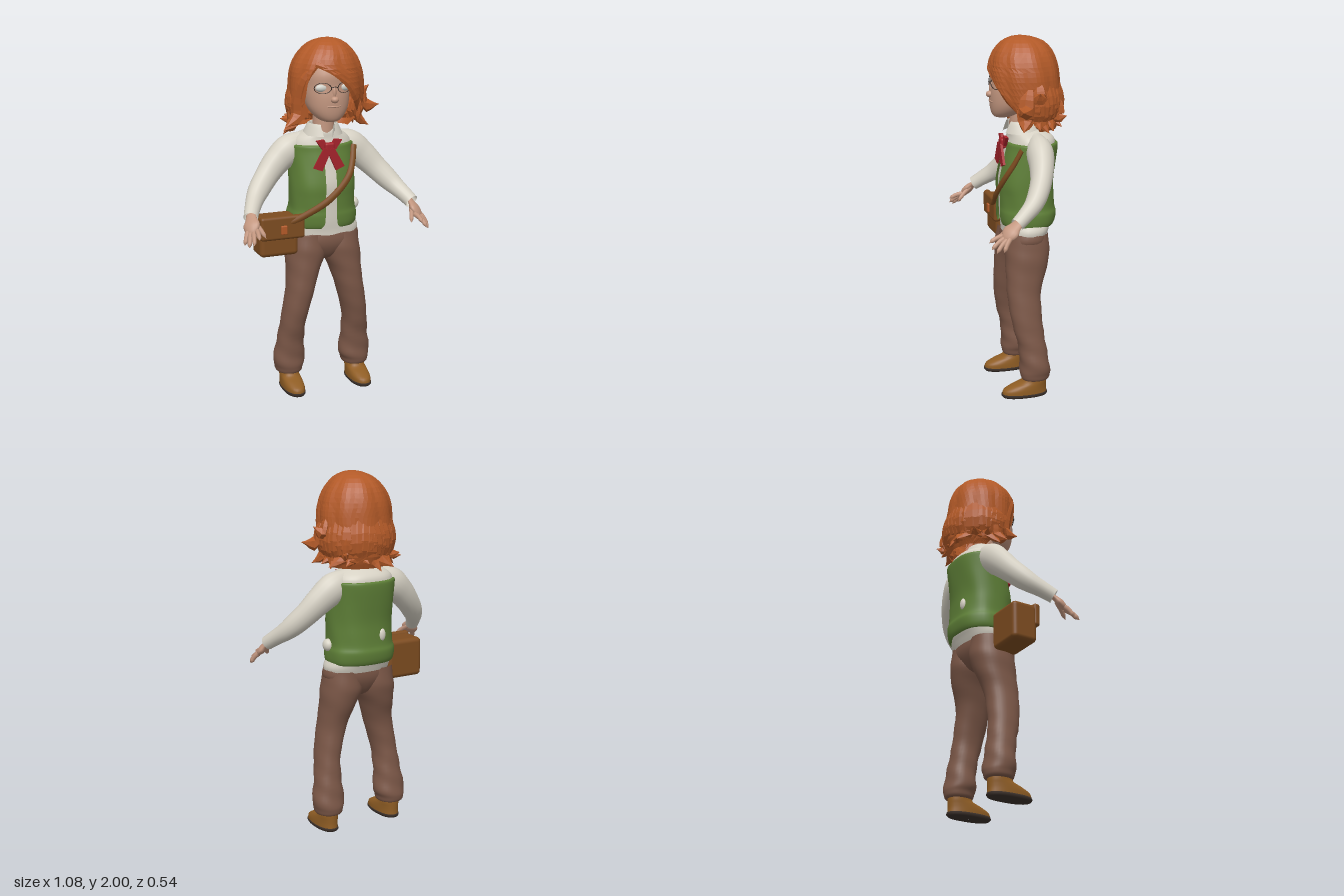
import * as THREE from 'three';
import { mergeVertices } from 'three/addons/utils/BufferGeometryUtils.js';
import { RoundedBoxGeometry } from 'three/addons/geometries/RoundedBoxGeometry.js';

const V = (x, y, z) => new THREE.Vector3(x, y, z);
const TAU = Math.PI * 2;

function material(name, color, double) {
  const m = new THREE.MeshStandardMaterial({ color });
  m.name = name;
  if (double) m.side = THREE.DoubleSide;
  return m;
}

// Smooth value through a list of numbers
function spline(list, t) {
  const n = list.length - 1, i = Math.min(Math.floor(t * n), n - 1), f = t * n - i;
  const b = list[i], c = list[i + 1], a = list[i - 1] ?? b, d = list[i + 2] ?? c;
  return b + 0.5 * f * (c - a + f * (2 * a - 5 * b + 4 * c - d + f * (3 * (b - c) + d - a)));
}

// Skin over level rings, lowest first: [cx, y, cz, rx, rz, startAngle, endAngle]; angle 0 faces +z
function loft(rings, { cols = 32, sub = 4, power = 1, warp = () => 1, flat = false } = {}) {
  const rows = (rings.length - 1) * sub, pos = [], index = [];
  const bend = v => Math.sign(v) * Math.abs(v) ** power;
  for (let r = 0; r <= rows; r++) {
    const [cx, y, cz, rx, rz, a, b] = [0, 1, 2, 3, 4, 5, 6].map(
      k => spline(rings.map(q => q[k] ?? (k === 6 ? TAU : 0)), r / rows));
    for (let c = 0; c <= cols; c++) {
      const t = a + (b - a) * c / cols, w = warp(t, y);
      pos.push(cx + rx * w * bend(Math.sin(t)), y, cz + rz * w * bend(Math.cos(t)));
      if (r < rows && c < cols) {
        const i = r * (cols + 1) + c, j = i + cols + 1;
        index.push(i, i + 1, j + 1, i, j + 1, j);
      }
    }
  }
  let g = new THREE.BufferGeometry();
  g.setAttribute('position', new THREE.Float32BufferAttribute(pos, 3));
  g.setIndex(index);
  g = flat ? g.toNonIndexed() : mergeVertices(g, 1e-5);
  g.computeVertexNormals();
  return g;
}

// Tube of changing radius, squashed along an axis if wanted
function limb(points, radii, { steps = 24, sides = 14, axis, squash = 1, flat = false } = {}) {
  const curve = new THREE.CatmullRomCurve3(points.map(p => V(...p)));
  let g = new THREE.TubeGeometry(curve, steps, 1, sides, false);
  const p = g.attributes.position, v = V(0, 0, 0);
  for (let i = 0; i < p.count; i++) {
    const t = Math.floor(i / (sides + 1)) / steps, c = curve.getPointAt(t);
    v.fromBufferAttribute(p, i).sub(c).multiplyScalar(Math.max(spline(radii, t), 0.0005));
    if (axis) v.addScaledVector(axis, -v.dot(axis) * (1 - squash));
    p.setXYZ(i, c.x + v.x, c.y + v.y, c.z + v.z);
  }
  g.deleteAttribute('uv');
  g.deleteAttribute('normal');
  g = flat ? g.toNonIndexed() : mergeVertices(g, 1e-5);
  g.computeVertexNormals();
  return g;
}

function plate(corners, depth) {
  const shape = new THREE.Shape(corners.map(c => new THREE.Vector2(...c)));
  return new THREE.ExtrudeGeometry(shape, { depth, bevelEnabled: false });
}

export function createModel() {
  const model = new THREE.Group();
  const hair = material('ginger hair', 0xb35a28, true), skin = material('skin', 0xc2967f);
  const shirt = material('cream cloth', 0xd6d1c4, true), vest = material('green cloth', 0x5e7f37, true);
  const trousers = material('brown cloth', 0x7b5747), leather = material('bag leather', 0x7d4c20);
  const tan = material('shoe leather', 0x8f5d24), dark = material('dark sole', 0x3b302a);
  const red = material('red ribbon', 0xa5232b), white = material('eye white', 0xd0d0c8);
  const add = (name, geometry, mat, x = 0, y = 0, z = 0) => {
    const m = new THREE.Mesh(geometry, mat);
    m.name = name;
    m.position.set(x, y, z);
    model.add(m);
    return m;
  };
  const ball = (name, mat, x, y, z, sx, sy, sz) =>
    add(name, new THREE.SphereGeometry(1, 20, 14), mat, x, y, z).scale.set(sx, sy, sz);

  // Head and neck
  add('head', loft([[0, 1.553, 0.07, 0.001, 0.001], [0, 1.56, 0.068, 0.042, 0.045], [0, 1.585, 0.05, 0.08, 0.08],
    [0, 1.63, 0.028, 0.11, 0.11], [0, 1.69, 0.005, 0.125, 0.134], [0, 1.75, -0.01, 0.13, 0.142],
    [0, 1.82, -0.02, 0.13, 0.15], [0, 1.9, -0.03, 0.1, 0.11], [0, 1.92, -0.03, 0.001, 0.001]], { power: 0.93 }), skin);
  add('neck', new THREE.CylinderGeometry(0.055, 0.062, 0.18, 20), skin, 0, 1.53, -0.03);
  ball('nose', skin, 0, 1.683, 0.14, 0.022, 0.018, 0.021);
  ball('noseBridge', skin, 0, 1.72, 0.128, 0.012, 0.035, 0.015);
  ball('upperLip', skin, 0, 1.645, 0.124, 0.048, 0.009, 0.018);
  ball('lowerLip', skin, 0, 1.629, 0.119, 0.04, 0.01, 0.018);
  for (const s of [-1, 1]) {
    ball('eye', white, s * 0.062, 1.745, 0.11, 0.038, 0.021, 0.018);
    const rim = add('glassesRim', new THREE.TorusGeometry(0.046, 0.0025, 6, 28), dark, s * 0.062, 1.745, 0.123);
    rim.scale.y = 0.62;
    rim.rotation.y = s * 0.35;
    ball('ear', skin, s * 0.125, 1.7, -0.01, 0.018, 0.035, 0.025);
  }
  add('glassesBridge', limb([[-0.017, 1.748, 0.138], [0, 1.752, 0.145], [0.017, 1.748, 0.138]], [0.0025, 0.0025], { sides: 6 }), dark);

  // Hair cap, open around the face with a fringe swept to one side
  const open = (row, a, b) => [...row, b, TAU + a];
  add('hairCap', loft([
    open([0.02, 1.495, -0.08, 0.15, 0.135], -1.7, 1.65),
    open([0.02, 1.56, -0.068, 0.185, 0.172], -1.4, 1.4),
    open([0.02, 1.63, -0.056, 0.203, 0.188], -1.0, 1.02),
    open([0.02, 1.7, -0.047, 0.203, 0.192], -0.88, 0.66),
    open([0.02, 1.77, -0.042, 0.2, 0.19], -0.84, 0.26),
    open([0.018, 1.82, -0.04, 0.193, 0.186], -0.75, -0.13),
    open([0.018, 1.87, -0.039, 0.177, 0.174], -0.66, -0.64),
    open([0.02, 1.92, -0.038, 0.147, 0.152], -0.65, -0.65),
    open([0.022, 1.965, -0.035, 0.102, 0.112], -0.65, -0.65),
    open([0.022, 1.99, -0.025, 0.05, 0.055], -0.65, -0.65),
    open([0.022, 1.998, -0.02, 0.001, 0.001], -0.65, -0.65)],
  { cols: 48, sub: 2, flat: true, warp: (t, y) => 1 + 0.045 * Math.abs(Math.sin(5 * t + 3 * y)) }), hair);
  add('fringe', limb([[-0.09, 1.87, 0.1], [0, 1.835, 0.132], [0.085, 1.765, 0.118], [0.15, 1.68, 0.075], [0.18, 1.58, 0.02]],
    [0.015, 0.026, 0.026, 0.03, 0], { sides: 6, steps: 12, axis: V(0.5, 0, 0.87), squash: 0.4, flat: true }), hair);
  add('sideStrand', limb([[-0.085, 1.87, 0.1], [-0.145, 1.79, 0.068], [-0.166, 1.68, 0.03], [-0.165, 1.585, 0.02], [-0.245, 1.53, 0.04]],
    [0.015, 0.026, 0.034, 0.042, 0], { sides: 6, steps: 12, axis: V(-0.6, 0, 0.8), squash: 0.45, flat: true }), hair);
  const flares = [[[0.2, 1.76, -0.03], [0.225, 1.68, -0.01], [0.235, 1.62, 0], [0.305, 1.625, 0.035]],
    [[0.18, 1.7, 0.01], [0.195, 1.62, 0], [0.2, 1.55, -0.005], [0.25, 1.51, 0.02]],
    [[0.2, 1.78, -0.07], [0.22, 1.72, -0.07], [0.235, 1.68, -0.07], [0.285, 1.72, -0.06]],
    [[0.15, 1.7, -0.17], [0.16, 1.63, -0.185], [0.165, 1.57, -0.19], [0.195, 1.58, -0.235]],
    [[-0.17, 1.66, -0.06], [-0.175, 1.6, -0.05], [-0.175, 1.54, -0.04], [-0.235, 1.5, -0.02]]];
  for (const path of flares)
    add('sideFlare', limb(path, [0.015, 0.04, 0.042, 0],
      { sides: 6, steps: 10, axis: V(Math.sign(path[0][0]) * 0.95, 0, 0.3), squash: 0.45, flat: true }), hair);

  // Chunky flicked ends around the bottom of the hair
  let seed = 11;
  const random = () => (seed = (seed * 16807) % 2147483647) / 2147483647;
  for (let i = 0; i < 22; i++) {
    const t = 1.3 + (TAU - 2.6) * i / 21, out = 0.005 + 0.05 * random(), lift = 1.475 + 0.09 * random();
    const at = (r, y, turn = 0) => [0.02 + (0.195 + r) * Math.sin(t + turn), y, -0.06 + (0.178 + r) * Math.cos(t + turn)];
    add('hairFlick', limb([at(-0.01, 1.76), at(0.01, 1.64), at(-0.015, 1.55), at(out, lift, (random() - 0.5) * 0.5)],
      [0.015, 0.045, 0.05, 0], { sides: 6, steps: 7, axis: V(Math.sin(t), 0, Math.cos(t)), squash: 0.35, flat: true }), hair);
  }

  // Shirt body, folded collar and cloth bulging past the vest
  const fold = (t, y) => 1 + 0.015 * Math.sin(5 * t + 18 * y) * Math.sin(3 * t);
  add('shirtBody', loft([[0.012, 0.912, -0.047, 0.188, 0.121], [0.01, 0.945, -0.053, 0.193, 0.127], [0, 1, -0.06, 0.18, 0.138],
    [0, 1.1, -0.06, 0.172, 0.14], [0, 1.2, -0.055, 0.17, 0.142], [0, 1.3, -0.07, 0.172, 0.137], [0, 1.4, -0.085, 0.176, 0.13],
    [0, 1.45, -0.085, 0.158, 0.118], [0, 1.485, -0.06, 0.1, 0.09], [0, 1.51, -0.04, 0.06, 0.06]],
  { power: 0.86, warp: fold }), shirt);
  add('collar', loft([[0, 1.46, -0.035, 0.072, 0.075, 0.4, TAU - 0.4], [0, 1.52, -0.04, 0.075, 0.078, 0.5, TAU - 0.5],
    [0, 1.53, -0.04, 0.083, 0.086, 0.5, TAU - 0.5], [0, 1.47, -0.045, 0.112, 0.11, 0.28, TAU - 0.28]], { sub: 3 }), shirt);
  ball('shirtBulge', shirt, 0.185, 1.06, -0.04, 0.03, 0.035, 0.035);
  ball('shirtBulge', shirt, -0.06, 1.12, -0.2, 0.022, 0.035, 0.016);

  // Open vest with turned edges and a hem band
  const gap = (y, cz, rx, rz, g = 0.13) => [0, y, cz, rx, rz, g, TAU - g];
  add('vest', loft([gap(0.972, -0.06, 0.17, 0.135, 0.3), gap(0.96, -0.06, 0.185, 0.145, 0.25), gap(0.985, -0.062, 0.194, 0.155, 0.15),
    gap(1.03, -0.063, 0.195, 0.158), gap(1.065, -0.06, 0.186, 0.152), gap(1.13, -0.057, 0.184, 0.152), gap(1.2, -0.055, 0.183, 0.154),
    gap(1.3, -0.07, 0.183, 0.15), gap(1.38, -0.084, 0.185, 0.144), gap(1.415, -0.087, 0.185, 0.14), gap(1.42, -0.087, 0.17, 0.125)],
  { cols: 48, power: 0.86, warp: fold }), vest);

  // Neck bow
  add('bowKnot', new RoundedBoxGeometry(0.056, 0.056, 0.034, 3, 0.012), red, -0.003, 1.41, 0.068);
  for (const s of [-1, 1]) {
    add('bowLoop', plate([[0, 1.395], [s * 0.04, 1.4], [s * 0.075, 1.45], [s * 0.03, 1.455]].map(([x, y]) => [x - 0.003, y]), 0.018), red, 0, 0, 0.054);
    add('bowTail', plate([[-s * 0.012, 1.4], [s * 0.03, 1.41], [s * 0.09, 1.305], [s * 0.04, 1.285]].map(([x, y]) => [x - 0.01, y]), 0.014), red, 0, 0, 0.074);
  }

  // Hips, legs and shoes
  add('hips', loft([[0, 0.765, -0.04, 0.02, 0.05], [0.003, 0.79, -0.04, 0.08, 0.085], [0.008, 0.84, -0.041, 0.165, 0.112],
    [0.012, 0.885, -0.043, 0.196, 0.121], [0.015, 0.935, -0.046, 0.184, 0.116]], { power: 0.85 }), trousers);
  const crease = (t, y) => 1 + (y < 0.4 ? 0.03 : 0.01) * Math.sin(55 * y + 2 * t);
  for (const s of [-1, 1]) {
    add('trouserLeg', loft([[0.203, 0.1, -0.06, 0.03, 0.04], [0.203, 0.1, -0.062, 0.066, 0.076], [0.203, 0.13, -0.062, 0.08, 0.083],
      [0.2, 0.16, -0.06, 0.09, 0.084], [0.2, 0.21, -0.056, 0.086, 0.081], [0.196, 0.29, -0.046, 0.076, 0.078],
      [0.188, 0.4, -0.025, 0.069, 0.083], [0.172, 0.49, -0.015, 0.073, 0.089], [0.148, 0.6, -0.012, 0.079, 0.095],
      [0.128, 0.7, -0.028, 0.09, 0.111], [0.107, 0.79, -0.04, 0.109, 0.123], [0.1, 0.85, -0.042, 0.108, 0.123], [0.097, 0.92, -0.045, 0.1, 0.114]]
      .map(([x, ...rest]) => [s * x, ...rest]), { warp: crease, power: 0.92 }), trousers);
    const x = s * 0.203;
    add('shoeSole', loft([[x, 0, 0, 0.001, 0.001], [x, 0, 0, 0.054, 0.124], [x, 0.01, 0, 0.06, 0.132], [x, 0.02, 0, 0.058, 0.13],
      [x, 0.02, 0, 0.001, 0.001]], { sub: 1, power: 0.85 }), dark);
    add('shoeUpper', loft([[x, 0.018, 0, 0.058, 0.127], [x, 0.042, -0.003, 0.058, 0.122], [x, 0.065, -0.025, 0.056, 0.1],
      [x, 0.09, -0.055, 0.053, 0.07], [x, 0.14, -0.062, 0.05, 0.062]], { power: 0.88 }), tan);
  }

  // Sleeves and hands
  const palm = V(0.59, 0.69, 0.43).normalize();
  for (const s of [-1, 1]) {
    const side = list => list.map(([x, y, z]) => [s * x, y, z]);
    const normal = V(s * palm.x, palm.y, palm.z);
    add('sleeve', limb(side([[0.09, 1.425, -0.09], [0.17, 1.39, -0.09], [0.25, 1.328, -0.08], [0.33, 1.245, -0.05], [0.405, 1.162, 0.008],
      [0.453, 1.105, 0.08], [0.474, 1.075, 0.12]]), [0.06, 0.085, 0.077, 0.067, 0.06, 0.047, 0.04],
    { steps: 40, sides: 18, axis: V(0, 0, 1), squash: 0.85 }), shirt);
    add('palm', limb(side([[0.466, 1.088, 0.1], [0.476, 1.06, 0.135], [0.484, 1.025, 0.17], [0.489, 0.997, 0.205]]),
      [0.028, 0.034, 0.047, 0.036, 0], { axis: normal, squash: 0.45 }), skin);
    const fingers = [[[0.462, 1.02, 0.19], [0.474, 0.99, 0.268]], [[0.48, 1.01, 0.19], [0.502, 0.96, 0.262]],
      [[0.496, 1.005, 0.18], [0.523, 0.945, 0.24]], [[0.506, 1.012, 0.165], [0.536, 0.95, 0.204]],
      [[0.462, 1.055, 0.145], [0.424, 0.983, 0.226]]];
    for (const [a, b] of fingers) {
      const mid = [(a[0] + b[0]) / 2, (a[1] + b[1]) / 2 + 0.006, (a[2] + b[2]) / 2];
      add('finger', limb(side([a, mid, b]), [0.014, 0.014, 0.013, 0.012, 0.011, 0], { sides: 8, steps: 15 }), skin);
    }
  }

  // Shoulder bag with flap, buckle and strap
  add('bagBody', new RoundedBoxGeometry(0.222, 0.22, 0.15, 4, 0.025), leather, -0.29, 0.93, -0.015);
  add('bagFlap', new RoundedBoxGeometry(0.255, 0.132, 0.04, 4, 0.016), leather, -0.275, 0.985, 0.06);
  add('bagBuckle', new RoundedBoxGeometry(0.036, 0.05, 0.016, 2, 0.006), hair, -0.272, 0.975, 0.082);
  add('bagStrap', limb([[0.166, 1.4, 0.005], [0.145, 1.32, 0.042], [0.105, 1.24, 0.08], [-0.015, 1.125, 0.1], [-0.15, 1.045, 0.08], [-0.23, 1.01, 0.07]],
    [0.018, 0.02, 0.018], { sides: 10, axis: V(0, 0, 1), squash: 0.6 }), leather);
  return model;
}
